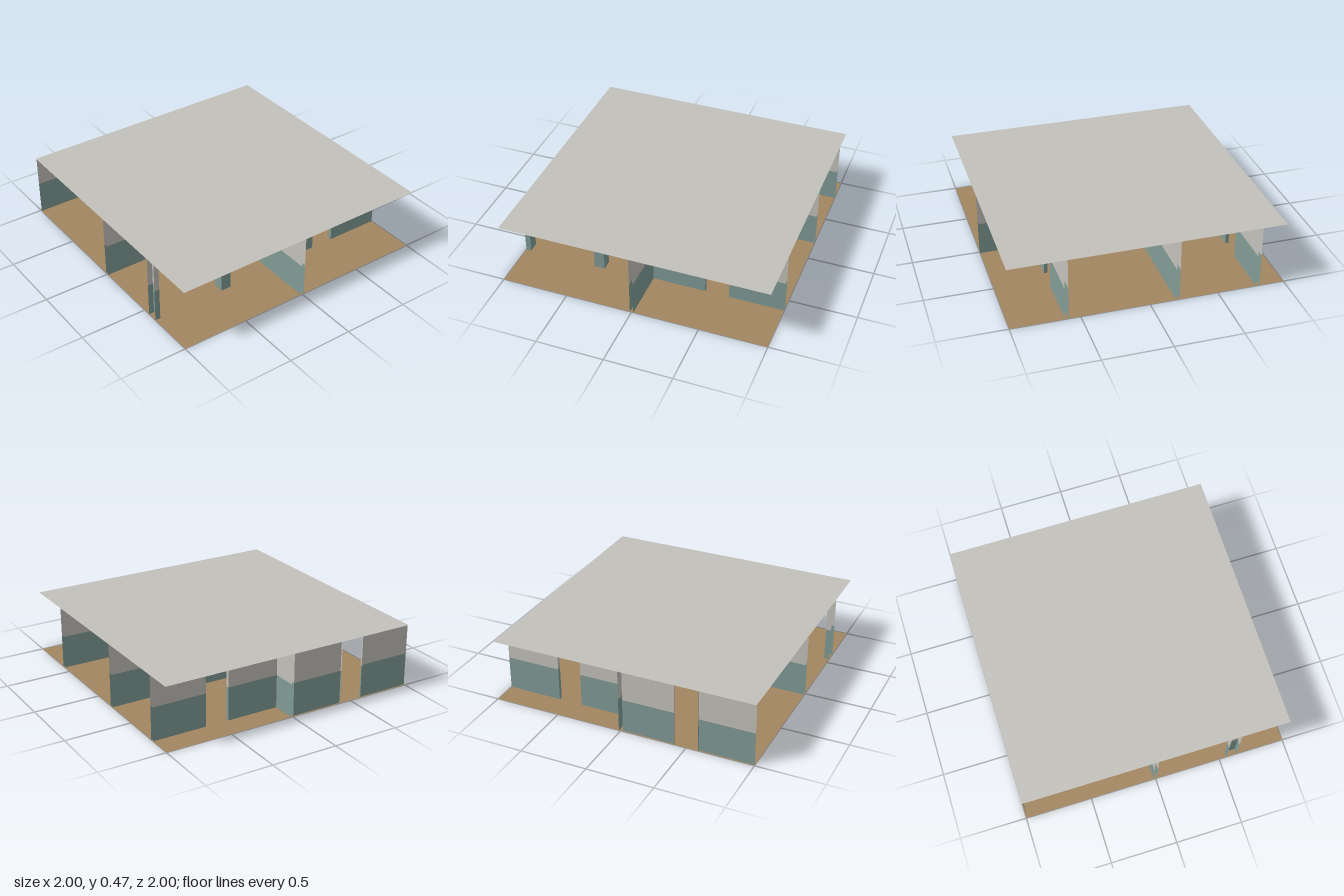
import * as THREE from 'three';

const HEIGHT = 0.475; // floor to ceiling
const DADO = 0.25;    // height of the painted lower wall

function material(name, color) {
  return new THREE.MeshStandardMaterial({ name, color, side: THREE.DoubleSide });
}

export function createModel() {
  const model = new THREE.Group();
  model.name = 'floorSection';
  const cream = material('cream plaster', 0xc3c1bb);
  const teal = material('teal paint', 0x809b96);
  const brown = material('brown floor', 0xa2865f);

  // Flat square slabs of the floor and ceiling
  function slab(name, y, mat, faceUp) {
    const mesh = new THREE.Mesh(new THREE.PlaneGeometry(2, 2), mat);
    mesh.name = name;
    mesh.rotation.x = faceUp ? -Math.PI / 2 : Math.PI / 2;
    mesh.position.y = y;
    model.add(mesh);
  }
  slab('floor', 0, brown, true);
  slab('ceiling', HEIGHT, cream, false);

  // Wall surface following a plan outline of [x, z] points
  function wall(name, points) {
    const group = new THREE.Group();
    group.name = name;
    for (let i = 0; i < points.length - 1; i++) {
      const [x1, z1] = points[i];
      const [x2, z2] = points[i + 1];
      const length = Math.hypot(x2 - x1, z2 - z1);
      for (const [part, y0, y1, mat] of [['lowerPanel', 0, DADO, teal], ['upperPanel', DADO, HEIGHT, cream]]) {
        const panel = new THREE.Mesh(new THREE.PlaneGeometry(length, y1 - y0), mat);
        panel.name = part;
        panel.position.set((x1 + x2) / 2, (y0 + y1) / 2, (z1 + z2) / 2);
        panel.rotation.y = Math.atan2(z1 - z2, x2 - x1);
        group.add(panel);
      }
    }
    model.add(group);
  }

  const t = 0.013; // half the thickness of a wall
  const door = [0.41, 0.59]; // near and far edge of each doorway
  const [a, b] = door;
  const mid = -0.003, east = 0.597, inner = -0.203, west = -0.803, edge = -0.99;

  // Rooms on the front half
  wall('frontWestRoomWall', [[-1, a], [edge, a], [edge, t], [mid - t, t], [mid - t, 1]]);
  wall('frontWestDoorWall', [[edge, 1], [edge, b], [-1, b]]);
  wall('frontEastRoomWall', [[mid + t, 1], [mid + t, t], [1, t]]);

  // Rooms on the back half, with a stub wall on each side of the doorways
  wall('backEastRoomWall', [[1, -t], [east + t, -t], [east + t, -a], [east - t, -a],
    [east - t, -t], [inner + t, -t], [inner + t, -1]]);
  wall('backWestRoomWall', [[inner - t, -1], [inner - t, -t], [west + t, -t], [west + t, -a],
    [west - t, -a], [west - t, -t], [-1, -t]]);
  for (const [name, x] of [['backEastDoorWall', east], ['backWestDoorWall', west]]) {
    wall(name, [[x - t, -1], [x - t, -b], [x + t, -b], [x + t, -1]]);
  }

  // Square pillar, and a half pillar cut by the front edge
  const p0 = 0.556, p1 = 0.636;
  wall('pillar', [[p0, 0.443], [p1, 0.443], [p1, 0.363], [p0, 0.363], [p0, 0.443]]);
  wall('halfPillar', [[p1, 1], [p1, 0.96], [p0, 0.96], [p0, 1]]);

  return model;
}
